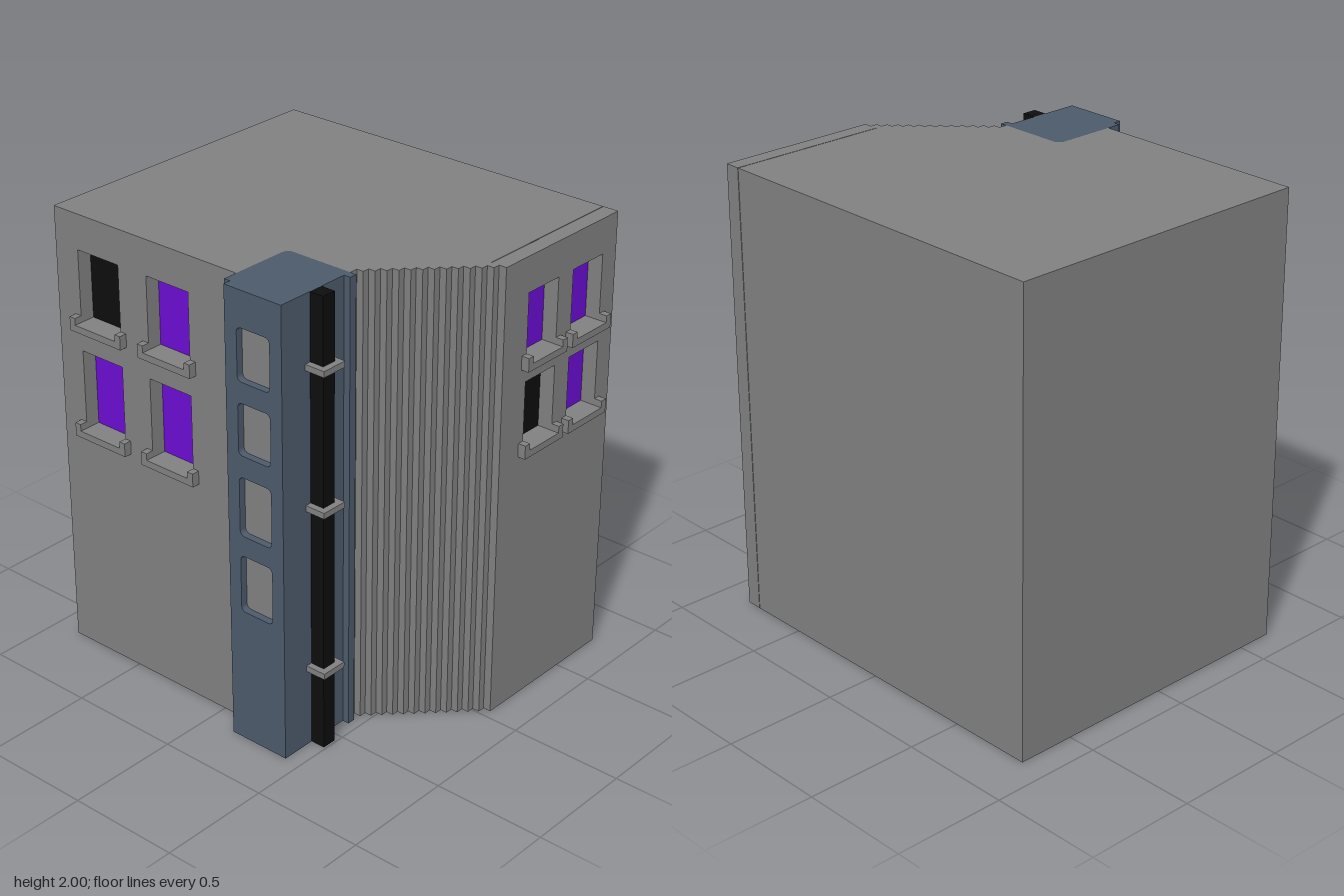
import * as THREE from 'three';

const concrete = new THREE.MeshStandardMaterial({ name: 'concrete grey', color: 0x808080 });
const slate = new THREE.MeshStandardMaterial({ name: 'slate blue', color: 0x4c5a6b });
const purple = new THREE.MeshStandardMaterial({ name: 'purple glass', color: 0x6a0dd1 });
const black = new THREE.MeshStandardMaterial({ name: 'black', color: 0x0d0d0d });

const H = 2, RECESS = 0.07;

function add(parent, name, geometry, material) {
  const mesh = new THREE.Mesh(geometry, material);
  mesh.name = name;
  parent.add(mesh);
  return mesh;
}

function box(parent, name, material, x0, x1, y0, y1, z0, z1) {
  const mesh = add(parent, name, new THREE.BoxGeometry(x1 - x0, y1 - y0, z1 - z0), material);
  mesh.position.set((x0 + x1) / 2, (y0 + y1) / 2, (z0 + z1) / 2);
  return mesh;
}

const polygon = (pts) => new THREE.Shape(pts.map(([x, y]) => new THREE.Vector2(x, y)));
const rect = (x0, x1, y0, y1) => polygon([[x0, y0], [x1, y0], [x1, y1], [x0, y1]]);

// Rectangle with rounded corners
function roundRect(x0, x1, y0, y1, r) {
  const s = new THREE.Shape();
  s.absarc(x1 - r, y0 + r, r, -Math.PI / 2, 0);
  s.absarc(x1 - r, y1 - r, r, 0, Math.PI / 2);
  s.absarc(x0 + r, y1 - r, r, Math.PI / 2, Math.PI);
  s.absarc(x0 + r, y0 + r, r, Math.PI, Math.PI * 1.5);
  s.closePath();
  return s;
}

const extrude = (shape, depth) =>
  new THREE.ExtrudeGeometry(shape, { depth, bevelEnabled: false, curveSegments: 4 });

// Full-height prism from an [x, z] footprint
const prism = (pts) => extrude(polygon(pts.map(([x, z]) => [x, -z])), H).rotateX(-Math.PI / 2);

// Wall slab with recessed windows and U-shaped sills; its outer face is at local z = face
function windowWall(name, u0, u1, face, windows) {
  const wall = new THREE.Group();
  wall.name = name;
  const shape = rect(u0, u1, 0, H);
  for (const [a, b, y0, y1, material] of windows) {
    shape.holes.push(rect(a, b, y0, y1));
    box(wall, 'windowPane', material, a, b, y0, y1, face - RECESS - 0.002, face - RECESS + 0.003);
    const e = 0.03;
    const sill = polygon([[a - e, y0 - e], [b + e, y0 - e], [b + e, y0 + e], [b, y0 + e],
      [b, y0], [a, y0], [a, y0 + e], [a - e, y0 + e]]);
    add(wall, 'windowSill', extrude(sill, 0.035), concrete).position.z = face;
  }
  add(wall, 'wallSlab', extrude(shape, RECESS), concrete).position.z = face - RECESS;
  return wall;
}

export function createModel() {
  const model = new THREE.Group();
  model.name = 'building';

  // Main block with a stepped diagonal corner, cut out around the tower
  const step = 0.0315;
  const plan = [[-0.875, 0.59], [-0.875, -0.76], [0.765, -0.76], [0.765, -0.04]];
  for (let i = 0; i < 13; i++) {
    const x = 0.835 - step * (i + 1), z = -0.04 + step * i;
    plan.push([x, z], [x, z + step]);
  }
  plan.push([0.425, 0.375], [0.13, 0.375], [0.11, 0.395], [0.11, 0.59]);
  add(model, 'mainBlock', prism(plan.reverse()), concrete);

  // Front wall
  model.add(windowWall('frontWall', -0.875, 0.11, 0.66, [
    [-0.75, -0.525, 1.527, 1.845, black],
    [-0.37, -0.145, 1.527, 1.845, purple],
    [-0.75, -0.525, 1.047, 1.4, purple],
    [-0.37, -0.145, 1.047, 1.4, purple],
  ]));

  // Side wall, built facing front and turned towards +x
  const side = windowWall('sideWall', 0.04, 0.76, 0.838, [
    [0.19, 0.38, 1.557, 1.845, purple],
    [0.475, 0.67, 1.557, 1.845, purple],
    [0.19, 0.38, 1.175, 1.465, black],
    [0.475, 0.67, 1.175, 1.465, purple],
  ]);
  side.rotation.y = Math.PI / 2;
  model.add(side);

  // Tower: core, then a front slab with rounded openings
  const tower = new THREE.Group();
  tower.name = 'tower';
  model.add(tower);
  add(tower, 'towerCore', prism([[0.11, 0.725], [0.425, 0.725], [0.425, 0.41], [0.455, 0.41],
    [0.455, 0.375], [0.13, 0.375], [0.11, 0.395]]), slate);
  const front = rect(0.14, 0.425, 0, H);
  for (const [y0, y1] of [[0.605, 0.86], [0.95, 1.21], [1.305, 1.53], [1.62, 1.845]]) {
    front.holes.push(roundRect(0.2, 0.365, y0, y1, 0.022));
    add(tower, 'towerPanel', extrude(roundRect(0.2, 0.365, y0, y1, 0.022), 0.004), concrete)
      .position.z = 0.725;
  }
  add(tower, 'towerFront', extrude(front, 0.035), slate).position.z = 0.725;

  // Drainpipe and its brackets
  box(model, 'drainpipe', black, 0.425, 0.49, 0, H, 0.537, 0.602);
  for (const y of [0.365, 1.097, 1.7]) {
    box(model, 'pipeBracket', concrete, 0.425, 0.518, y - 0.013, y + 0.013, 0.51, 0.63);
  }
  return model;
}
